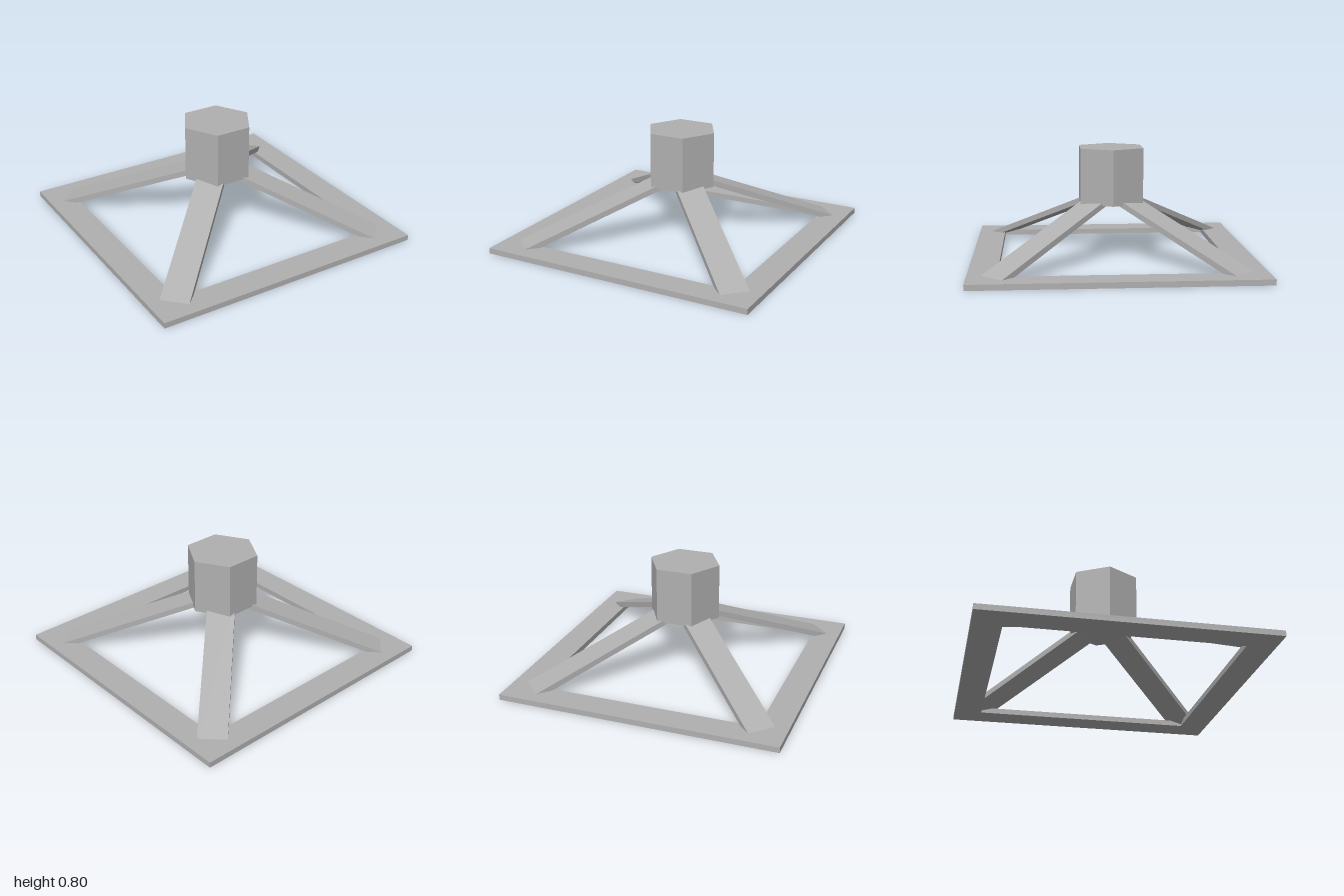
import * as THREE from 'three';

const grey = new THREE.MeshStandardMaterial({ color: 0xb0b0b0 });
grey.name = 'plain grey';

function addPart(parent, name, geometry) {
  const flat = geometry.index ? geometry.toNonIndexed() : geometry;
  flat.computeVertexNormals();
  const mesh = new THREE.Mesh(flat, grey);
  mesh.name = name;
  parent.add(mesh);
  return mesh;
}

function square(PathType, h) {
  return new PathType([[-h, -h], [h, -h], [h, h], [-h, h]].map(([x, y]) => new THREE.Vector2(x, y)));
}

export function createModel() {
  const model = new THREE.Group();
  model.name = 'stand';

  // Flat square base frame with an open centre
  const frameShape = square(THREE.Shape, 1);
  frameShape.holes.push(square(THREE.Path, 0.8));
  const frame = new THREE.ExtrudeGeometry(frameShape, { depth: 0.04, bevelEnabled: false });
  frame.rotateX(-Math.PI / 2);
  addPart(model, 'baseFrame', frame);

  // Hexagonal post with corners pointing left and right
  const post = new THREE.CylinderGeometry(0.26, 0.26, 0.4, 6);
  post.rotateY(Math.PI / 6);
  post.translate(0, 0.6, 0);
  addPart(model, 'hexagonalPost', post);

  // Four sloping legs from the frame corners into the post
  const topY = r => 0.04 + (1.18 - r) * 0.39;
  const thickness = 0.043;
  const profile = new THREE.Shape([
    new THREE.Vector2(0.1, topY(0.1) - thickness),
    new THREE.Vector2(1.13, topY(1.13) - thickness),
    new THREE.Vector2(1.24, topY(1.24)),
    new THREE.Vector2(0.1, topY(0.1)),
  ]);
  const names = ['backLeftLeg', 'backRightLeg', 'frontRightLeg', 'frontLeftLeg'];
  names.forEach((name, i) => {
    const leg = new THREE.ExtrudeGeometry(profile, { depth: 0.2, bevelEnabled: false });
    leg.translate(0, 0, -0.1);
    leg.rotateY(Math.PI / 4 + i * Math.PI / 2);
    addPart(model, name, leg);
  });

  return model;
}
